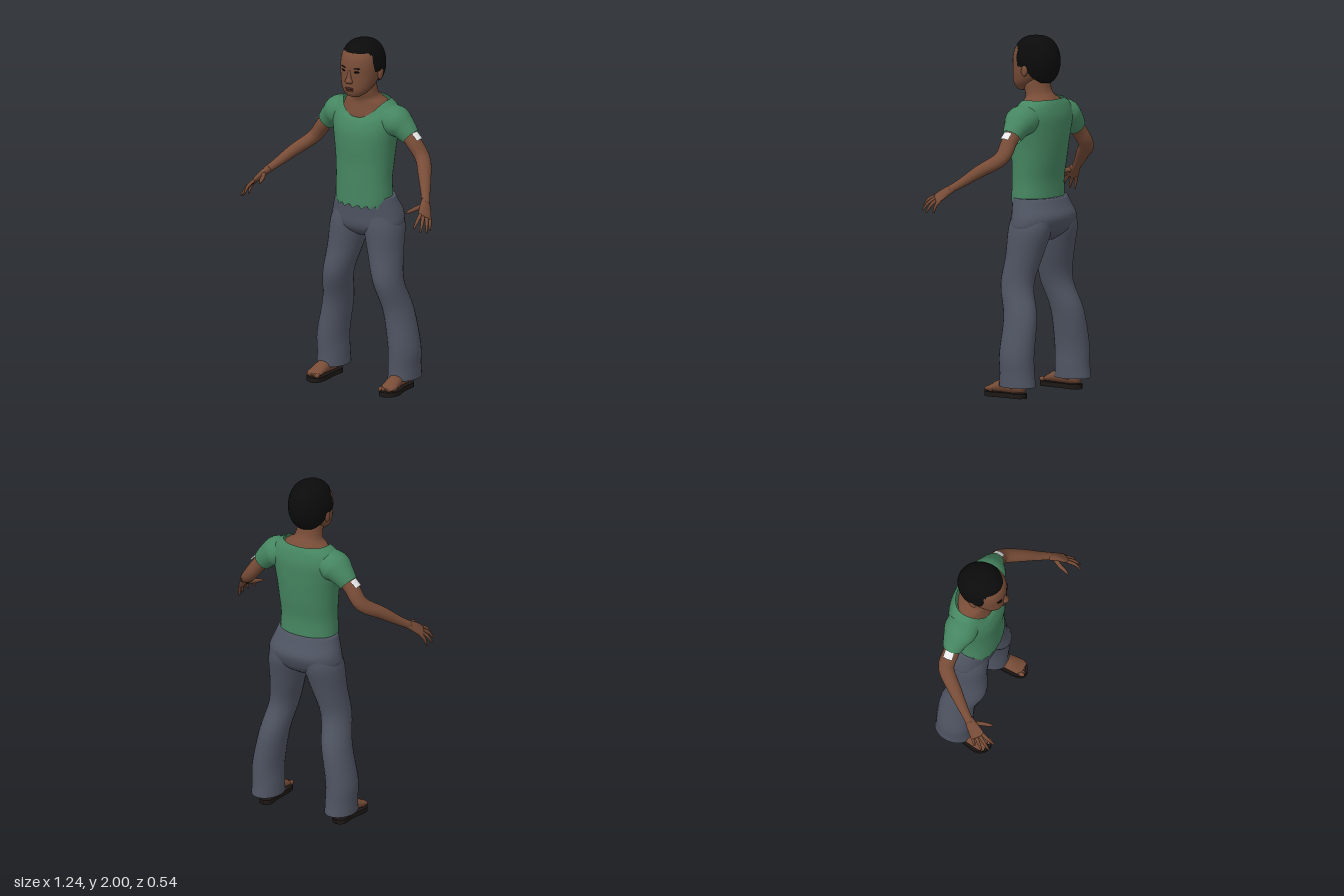
import * as THREE from 'three';

const mat = (name, color, side = THREE.FrontSide) => {
  const m = new THREE.MeshStandardMaterial({ color, side });
  m.name = name;
  return m;
};

// Smooth loft through rows of [x, y, z, radiusA, radiusB, frontSag].
// With ref, rings stand square to the path and radiusB runs along ref; without it rings lie flat.
function loft(rows, { ref = null, n = 24, steps = 4, cap = true, power = 1 } = {}) {
  const path = new THREE.CatmullRomCurve3(rows.map(r => new THREE.Vector3(r[0], r[1], r[2])), false, 'catmullrom');
  const radii = new THREE.CatmullRomCurve3(rows.map(r => new THREE.Vector3(r[3], r[4], r[5] || 0)), false, 'catmullrom');
  const count = (rows.length - 1) * steps;
  const pos = [], index = [];
  const soft = c => Math.sign(c) * Math.abs(c) ** power;
  for (let i = 0; i <= count; i++) {
    const c = path.getPoint(i / count), r = radii.getPoint(i / count);
    const t = ref ? path.getTangent(i / count) : new THREE.Vector3(0, 1, 0);
    const v = (ref || new THREE.Vector3(0, 0, 1)).clone();
    v.addScaledVector(t, -v.dot(t)).normalize();
    const u = v.clone().cross(t);
    for (let j = 0; j < n; j++) {
      const a = j / n * Math.PI * 2;
      const p = c.clone().addScaledVector(u, r.x * soft(Math.cos(a))).addScaledVector(v, r.y * soft(Math.sin(a)));
      p.y -= r.z * Math.max(0, Math.sin(a)) ** 2;
      pos.push(p.x, p.y, p.z);
      const k = i * n + j, q = i * n + (j + 1) % n;
      if (i < count) index.push(k, q, q + n, k, q + n, k + n);
    }
  }
  if (cap) {
    const base = pos.length / 3, first = rows[0], last = rows[rows.length - 1];
    pos.push(first[0], first[1], first[2], last[0], last[1], last[2]);
    for (let j = 0; j < n; j++) {
      const q = (j + 1) % n;
      index.push(base, q, j, base + 1, count * n + j, count * n + q);
    }
  }
  const g = new THREE.BufferGeometry();
  g.setAttribute('position', new THREE.Float32BufferAttribute(pos, 3));
  g.setIndex(index);
  g.computeVertexNormals();
  return g;
}

// Short hair: a rounded shell whose lower edge follows the hairline around the head
function hairGeometry() {
  const line = [[0, 1.945], [58, 1.945], [70, 1.835], [92, 1.835], [112, 1.775], [140, 1.745], [180, 1.74]];
  const edge = deg => {
    const i = Math.max(1, line.findIndex(p => p[0] >= deg - 1e-6));
    const [a, ya] = line[i - 1], [b, yb] = line[i];
    return ya + (yb - ya) * (deg - a) / (b - a);
  };
  const g = new THREE.SphereGeometry(1, 72, 18), p = g.attributes.position, uv = g.attributes.uv;
  for (let i = 0; i < p.count; i++) {
    const col = i % 73, row = Math.floor(i / 73);
    const a = col / 72 * Math.PI * 2;
    let deg = a * 180 / Math.PI;
    if (deg > 180) deg = 360 - deg;
    const phi = row / 18 * Math.acos((edge(deg) - 1.86) / 0.14);
    const s = Math.sin(phi) ** 0.72;
    p.setXYZ(i, 0.12 * s * Math.sin(a), 1.86 + 0.14 * Math.cos(phi), -0.07 + 0.14 * s * Math.cos(a));
  }
  // the sphere's last row has no second triangle, so all rows are indexed afresh
  const index = [];
  for (let r = 0; r < 18; r++) for (let c = 0; c < 72; c++) {
    const k = r * 73 + c;
    index.push(k, k + 73, k + 74, k, k + 74, k + 1);
  }
  g.setIndex(index);
  g.computeVertexNormals();
  return g;
}

export function createModel() {
  const model = new THREE.Group();
  model.name = 'standingPerson';
  const skin = mat('brown skin', 0x774c37);
  const shirt = mat('green shirt', 0x468661, THREE.DoubleSide);
  const cloth = mat('slate trousers', 0x4f5462, THREE.DoubleSide);
  const black = mat('black hair', 0x0b0b0c, THREE.DoubleSide);
  const sole = mat('dark sole', 0x1c1715);
  const lip = mat('dark lips', 0x5a3329);
  const white = mat('white trim', 0xffffff);

  const add = (name, geometry, material) => {
    const m = new THREE.Mesh(geometry, material);
    m.name = name;
    model.add(m);
    return m;
  };
  const ball = (name, material, [x, y, z], [sx, sy, sz]) => {
    const m = add(name, new THREE.SphereGeometry(1, 16, 12), material);
    m.position.set(x, y, z);
    m.scale.set(sx, sy, sz);
    return m;
  };

  // Head rows: height, half width, front z, back z
  const headRows = [[1.69, 0.03, 0.042, 0], [1.70, 0.05, 0.056, -0.03], [1.73, 0.08, 0.068, -0.08],
    [1.77, 0.098, 0.07, -0.13], [1.82, 0.108, 0.07, -0.165], [1.88, 0.112, 0.068, -0.18],
    [1.93, 0.104, 0.052, -0.175], [1.965, 0.075, 0.01, -0.14], [1.98, 0.03, -0.04, -0.1]];
  add('head', loft(headRows.map(([y, a, f, b]) => [0, y, (f + b) / 2, a, (f - b) / 2]), { n: 32, power: 0.93 }), skin);
  add('hair', hairGeometry(), black);
  add('neck', loft([[0, 1.5, -0.095, 0.16, 0.09], [0, 1.56, -0.095, 0.15, 0.094], [0, 1.635, -0.11, 0.132, 0.09],
    [0, 1.665, -0.1, 0.088, 0.083], [0, 1.7, -0.08, 0.075, 0.076], [0, 1.79, -0.065, 0.07, 0.075]], { n: 28 }), skin);

  // Face
  add('nose', loft([[0, 1.775, 0.068, 0.018, 0.012], [0, 1.787, 0.072, 0.024, 0.022],
    [0, 1.81, 0.07, 0.014, 0.014], [0, 1.85, 0.064, 0.008, 0.008]], { n: 12 }), skin);
  ball('upperLip', lip, [0, 1.744, 0.068], [0.028, 0.006, 0.01]);
  ball('lowerLip', lip, [0, 1.734, 0.066], [0.024, 0.007, 0.011]);

  // Shirt body with a scooped neckline and a ragged hem
  const body = loft([[0, 1.05, -0.08, 0.165, 0.12], [0, 1.1, -0.08, 0.17, 0.12], [0, 1.2, -0.08, 0.166, 0.12],
    [0, 1.3, -0.088, 0.172, 0.128], [0, 1.4, -0.092, 0.182, 0.137], [0, 1.48, -0.097, 0.195, 0.139],
    [0, 1.56, -0.108, 0.205, 0.13, 0.02], [0, 1.62, -0.11, 0.185, 0.115, 0.06],
    [0, 1.655, -0.105, 0.137, 0.105, 0.095]], { n: 40, cap: false, power: 0.9 });
  for (let j = 0; j < 40; j++) body.attributes.position.setY(j, 1.055 + (j % 2 ? 0.018 : -0.012));
  body.computeVertexNormals();
  add('shirtBody', body, shirt);

  // Trouser seat
  add('trouserSeat', loft([[0, 0.865, -0.11, 0.08, 0.06], [0, 0.9, -0.11, 0.17, 0.11], [0, 0.94, -0.115, 0.218, 0.135],
    [0, 1.0, -0.122, 0.214, 0.147], [0, 1.06, -0.106, 0.194, 0.135], [0, 1.105, -0.095, 0.178, 0.125]],
  { n: 36, power: 0.95 }), cloth);

  for (const s of [1, -1]) {
    const side = s > 0 ? 'left' : 'right';
    const flip = rows => rows.map(([x, ...rest]) => [x * s, ...rest]);
    const forward = new THREE.Vector3(0, 0, 1), up = new THREE.Vector3(0, 1, 0);

    // Eye, brow and ear
    ball(side + 'Eye', black, [s * 0.043, 1.843, 0.059], [0.016, 0.006, 0.007]).rotation.y = s * 0.35;
    const brow = ball(side + 'Brow', black, [s * 0.045, 1.863, 0.058], [0.021, 0.004, 0.006]);
    brow.rotation.y = s * 0.35;
    ball(side + 'Ear', skin, [s * 0.112, 1.815, -0.075], [0.012, 0.034, 0.022]).rotation.x = -0.2;

    // Sleeve, arm and the trim at the sleeve opening
    add(side + 'Sleeve', loft(flip([[0.12, 1.565, -0.115, 0.075, 0.09], [0.19, 1.54, -0.115, 0.087, 0.095],
      [0.235, 1.51, -0.12, 0.07, 0.075], [0.28, 1.465, -0.123, 0.056, 0.054]]), { ref: forward, cap: false }), shirt);
    add(side + 'Arm', loft(flip([[0.24, 1.5, -0.122, 0.042, 0.044], [0.3, 1.44, -0.122, 0.042, 0.046],
      [0.365, 1.355, -0.12, 0.038, 0.045], [0.44, 1.285, -0.03, 0.034, 0.037],
      [0.5, 1.22, 0.05, 0.025, 0.027], [0.54, 1.18, 0.105, 0.02, 0.023]]), { ref: forward }), skin);
    const trim = new THREE.CylinderGeometry(0.049, 0.049, 0.05, 10, 1, true, Math.PI * (s > 0 ? 1.5 : 0.5) - 0.6, 1.2);
    const trimMesh = add(side + 'SleeveTrim', trim, white);
    trimMesh.position.set(s * 0.298, 1.447, -0.122);
    trimMesh.rotation.z = -s * Math.PI * 0.75;

    // Hand: palm, four fingers and a thumb
    const across = new THREE.Vector3(s * 0.35, -0.25, -0.9);
    add(side + 'Palm', loft(flip([[0.525, 1.195, 0.085, 0.021, 0.023], [0.55, 1.165, 0.125, 0.018, 0.034],
      [0.568, 1.14, 0.155, 0.014, 0.041], [0.58, 1.125, 0.175, 0.01, 0.038]]), { ref: across, n: 16 }), skin);
    const tips = [[0.57, 1.08, 0.268], [0.603, 1.06, 0.25], [0.618, 1.05, 0.212], [0.61, 1.05, 0.167]];
    tips.forEach(([x, y, z], i) => {
      const o = -0.031 + i * 0.0205;
      const b = [0.572 + 0.35 * o, 1.133 - 0.25 * o, 0.162 - 0.9 * o];
      add(side + 'Finger' + (i + 1), loft(flip([[...b, 0.01, 0.011],
        [(b[0] + x) / 2 + 0.005, (b[1] + y) / 2 + 0.006, (b[2] + z) / 2 + 0.004, 0.009, 0.01],
        [x, y, z, 0.004, 0.005]]), { ref: across, n: 8 }), skin);
    });
    add(side + 'Thumb', loft(flip([[0.542, 1.175, 0.115, 0.014, 0.016], [0.515, 1.162, 0.165, 0.012, 0.013],
      [0.503, 1.155, 0.2, 0.01, 0.01], [0.492, 1.147, 0.228, 0.004, 0.005]]), { ref: up, n: 10 }), skin);

    // Flared trouser leg
    add(side + 'TrouserLeg', loft(flip([[0.238, 0.065, -0.13, 0.087, 0.112], [0.238, 0.14, -0.128, 0.086, 0.105],
      [0.238, 0.25, -0.125, 0.086, 0.105], [0.202, 0.45, -0.12, 0.081, 0.101], [0.168, 0.62, -0.07, 0.082, 0.1],
      [0.135, 0.78, -0.092, 0.098, 0.108], [0.113, 0.92, -0.113, 0.111, 0.128],
      [0.1, 1.0, -0.12, 0.1, 0.125]]), { cap: false }), cloth);

    // Foot, toes and flat sandal
    add(side + 'Ankle', loft(flip([[0.238, 0.05, -0.11, 0.037, 0.045], [0.238, 0.12, -0.11, 0.036, 0.042],
      [0.238, 0.22, -0.115, 0.04, 0.045]]), { n: 16 }), skin);
    add(side + 'Foot', loft(flip([[0.238, 0.055, -0.175, 0.025, 0.025], [0.238, 0.065, -0.12, 0.038, 0.04],
      [0.243, 0.062, -0.03, 0.043, 0.037], [0.248, 0.045, 0.04, 0.047, 0.02],
      [0.246, 0.038, 0.07, 0.038, 0.012]]), { ref: up, n: 16 }), skin);
    for (let i = 0; i < 5; i++)
      ball(side + 'Toe' + (i + 1), skin, [s * (0.214 + i * 0.017), 0.038, 0.07 - i * i * 0.0025],
        [i ? 0.009 : 0.013, i ? 0.01 : 0.013, 0.02]);
    const outline = new THREE.SplineCurve([[0.238, -0.188], [0.275, -0.165], [0.28, -0.07], [0.3, 0.02], [0.285, 0.07],
      [0.24, 0.094], [0.203, 0.075], [0.195, 0.01], [0.203, -0.08], [0.203, -0.165], [0.238, -0.188]]
      .map(([x, z]) => new THREE.Vector2(s * x, -z)));
    const shape = new THREE.Shape(outline.getPoints(40));
    const sandal = add(side + 'Sandal', new THREE.ExtrudeGeometry(shape, { depth: 0.027, bevelEnabled: false }), sole);
    sandal.rotation.x = -Math.PI / 2;
  }
  return model;
}
